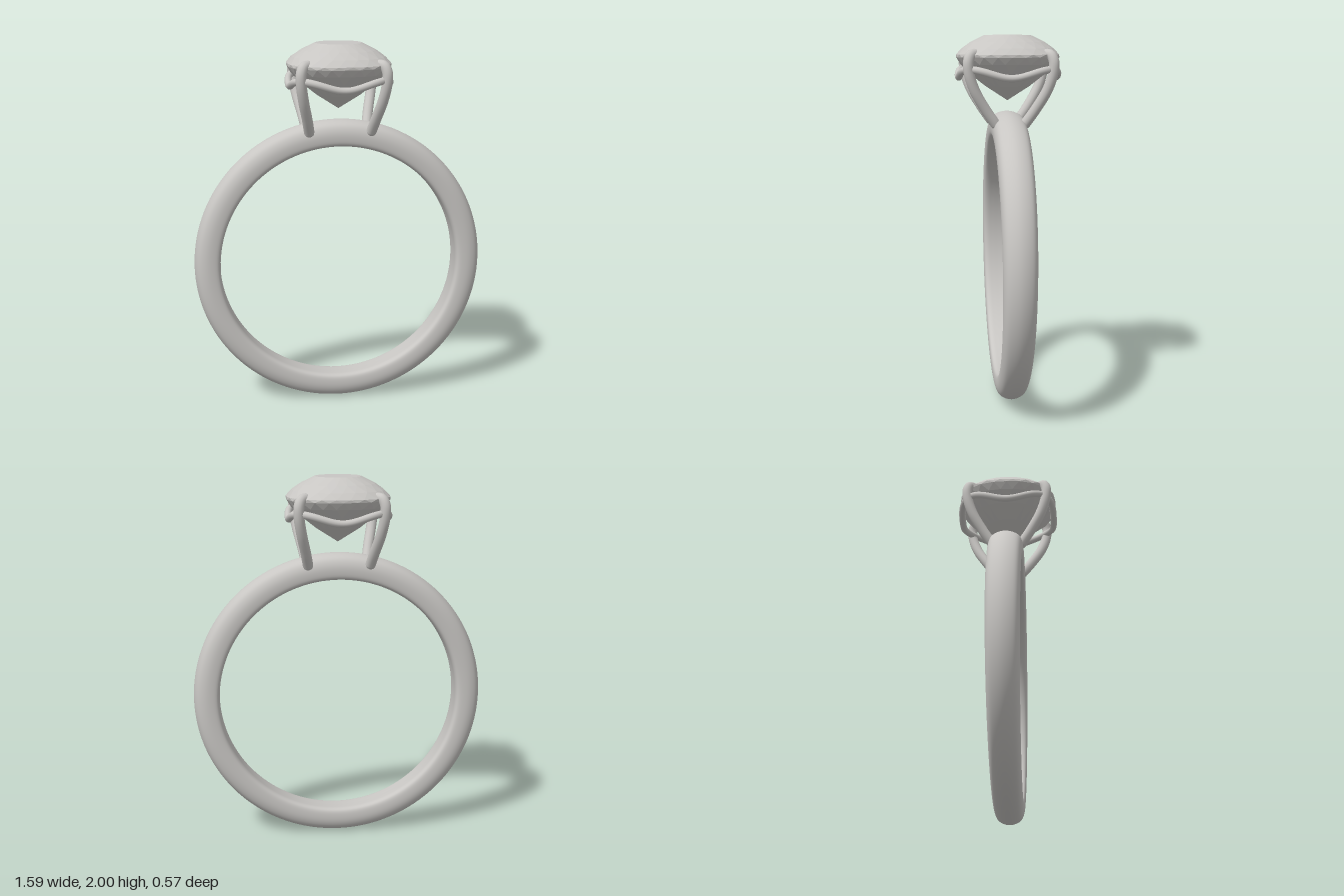
import * as THREE from 'three';
import { ConvexGeometry } from 'three/addons/geometries/ConvexGeometry.js';

const silver = new THREE.MeshStandardMaterial({ color: 0xc8c6c3 });
silver.name = 'silver grey';
const stoneGrey = new THREE.MeshStandardMaterial({ color: 0xc8c6c3, flatShading: true });
stoneGrey.name = 'stone grey';

function part(name, geometry, material, parent) {
  const mesh = new THREE.Mesh(geometry, material);
  mesh.name = name;
  parent.add(mesh);
  return mesh;
}

// Point on a rounded square: exponent 2 is a circle, higher is squarer
function cushion(angle, radius, exponent, y) {
  const c = Math.cos(angle), s = Math.sin(angle);
  const k = radius / Math.pow(Math.abs(c) ** exponent + Math.abs(s) ** exponent, 1 / exponent);
  return new THREE.Vector3(c * k, y, s * k);
}

// Band: domed outside, flat inside, a little wider towards the top
function bandGeometry() {
  const R = 0.796;
  const half = [[0.655, 0.035], [0.657, 0.066], [0.668, 0.084], [0.7, 0.091],
    [0.738, 0.088], [0.77, 0.072], [0.788, 0.042]];
  const loop = [
    [0.655, 0],
    ...half.map(([r, w]) => [r, -w]),
    [R, 0],
    ...half.slice().reverse(),
  ].map(([r, w]) => new THREE.Vector3(r, w, 0));
  const section = new THREE.CatmullRomCurve3(loop, true).getPoints(56)
    .map((p) => new THREE.Vector2(p.x, p.y));
  const geometry = new THREE.LatheGeometry(section, 128);
  geometry.rotateX(Math.PI / 2);
  geometry.translate(0, R, 0);
  const pos = geometry.attributes.position;
  for (let i = 0; i < pos.count; i++) {
    const t = pos.getY(i) / (2 * R);
    pos.setZ(i, pos.getZ(i) * (0.85 + 0.18 * t));
  }
  return geometry;
}

// Cut stone: staggered rings of corners from the table to the culet
function stoneGeometry() {
  const n = 24;
  const rings = [ // radius, height, squareness, half-step offset
    [0.125, 2.0, 2, 0],
    [0.2, 1.963, 2.15, 0.5],
    [0.246, 1.93, 2.35, 0],
    [0.277, 1.897, 2.5, 0.5],
    [0.277, 1.882, 2.5, 0],
    [0.255, 1.845, 2.4, 0.5],
    [0.2, 1.79, 2.2, 0],
    [0.12, 1.727, 2.1, 0.5],
  ];
  const points = [new THREE.Vector3(0, 1.65, 0)];
  for (const [r, y, e, shift] of rings) {
    for (let i = 0; i < n; i++) {
      points.push(cushion(((i + shift) / n) * Math.PI * 2, r, e, y));
    }
  }
  return new ConvexGeometry(points);
}

// Wire that holds the prongs together, dipping between them
function railGeometry() {
  const points = [];
  for (let i = 0; i < 48; i++) {
    const a = (i / 48) * Math.PI * 2;
    points.push(cushion(a, 0.264, 3.3, 1.775 + 0.045 * Math.sin(2 * a) ** 2));
  }
  return new THREE.TubeGeometry(new THREE.CatmullRomCurve3(points, true), 128, 0.019, 12, true);
}

// Prong with rounded ends, bent inwards over the stone
function addProng(name, sx, sz, parent) {
  const prong = new THREE.Group();
  prong.name = name;
  const path = [[0.168, 1.535, 0.08], [0.184, 1.61, 0.132], [0.208, 1.71, 0.19],
    [0.223, 1.8, 0.22], [0.224, 1.86, 0.224], [0.212, 1.893, 0.212], [0.192, 1.9, 0.192]]
    .map(([x, y, z]) => new THREE.Vector3(x * sx, y, z * sz));
  const radius = 0.028;
  part(name + 'Wire', new THREE.TubeGeometry(new THREE.CatmullRomCurve3(path), 40, radius, 14), silver, prong);
  for (const [end, p] of [['Foot', path[0]], ['Tip', path[path.length - 1]]]) {
    part(name + end, new THREE.SphereGeometry(radius, 14, 10), silver, prong).position.copy(p);
  }
  parent.add(prong);
}

export function createModel() {
  const ring = new THREE.Group();
  ring.name = 'ring';
  part('band', bandGeometry(), silver, ring);
  part('stone', stoneGeometry(), stoneGrey, ring);

  const setting = new THREE.Group();
  setting.name = 'setting';
  part('rail', railGeometry(), silver, setting);
  for (const [sx, side] of [[1, 'Left'], [-1, 'Right']]) {
    for (const [sz, end] of [[1, 'front'], [-1, 'back']]) {
      addProng(end + side + 'Prong', sx, sz, setting);
    }
  }
  ring.add(setting);
  return ring;
}
